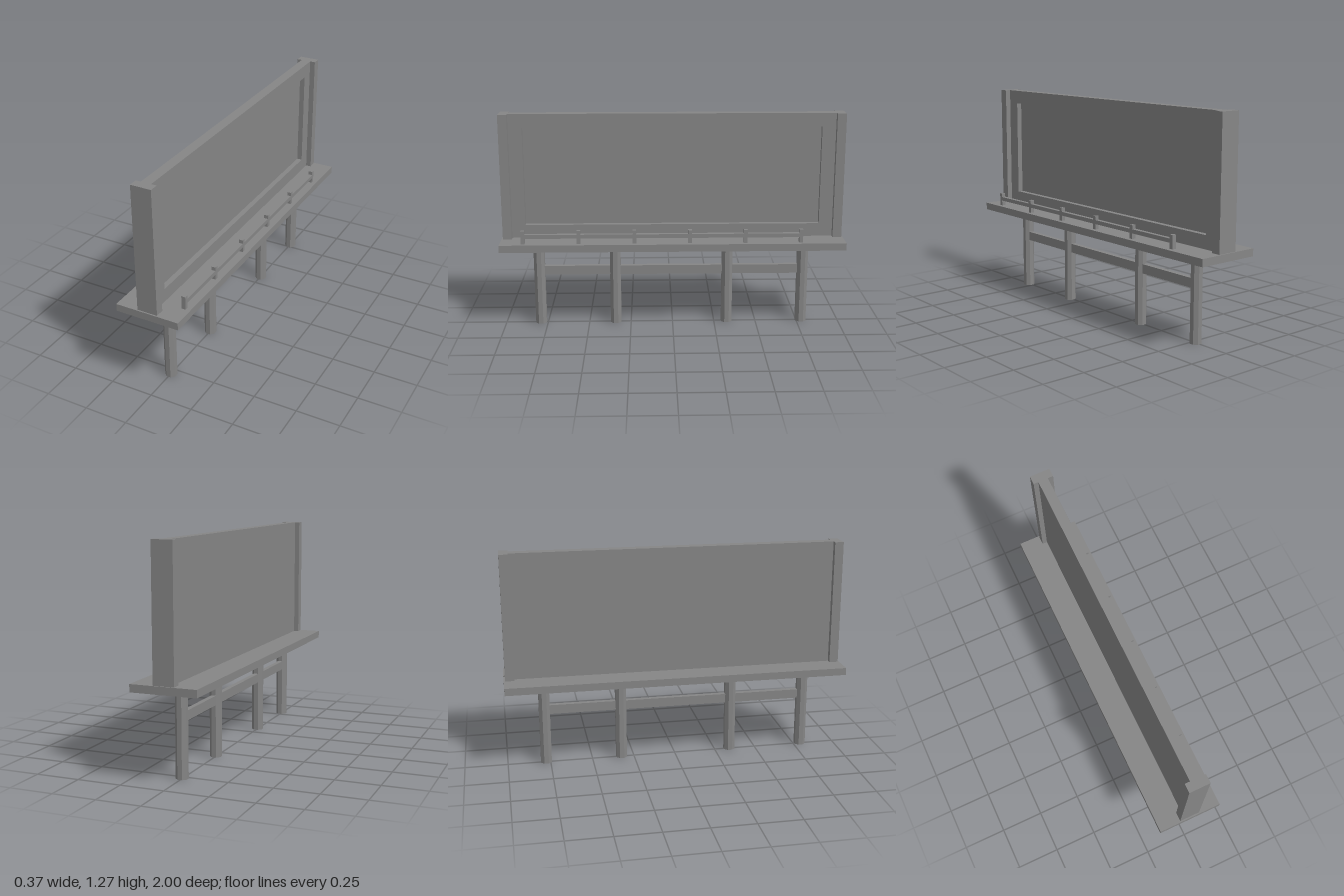
import * as THREE from 'three';

const material = new THREE.MeshStandardMaterial({ color: 0x868686, flatShading: true });
const openMaterial = material.clone();
openMaterial.side = THREE.DoubleSide;

export function createModel() {
  const model = new THREE.Group();
  model.name = 'billboard';

  const add = (name, geometry, x = 0, y = 0, z = 0, mat = material) => {
    const mesh = new THREE.Mesh(geometry, mat);
    mesh.name = name;
    mesh.position.set(x, y, z);
    model.add(mesh);
  };
  // Box given by its min and max on each axis
  const box = (name, x0, x1, y0, y1, z0, z1) =>
    add(name, new THREE.BoxGeometry(x1 - x0, y1 - y0, z1 - z0),
      (x0 + x1) / 2, (y0 + y1) / 2, (z0 + z1) / 2);

  // Eight-sided hollow support poles, flats facing the axes
  const pole = new THREE.CylinderGeometry(0.0345, 0.0345, 0.497, 8, 1, true).rotateY(Math.PI / 8);
  for (const z of [0.79, 0.34, -0.325, -0.775]) {
    add('supportPole', pole, 0.002, 0.2485, z, openMaterial);
  }

  // Slim brace running through the poles
  box('crossBrace', -0.012, 0.016, 0.305, 0.359, -0.775, 0.79);

  // Walkway platform
  box('platform', -0.188, 0.186, 0.495, 0.538, -1, 1);

  // End columns of the board
  for (const side of [-1, 1]) {
    const a = side * 0.94, b = side * 0.992;
    box('endColumn', -0.061, 0.058, 0.538, 1.27, Math.min(a, b), Math.max(a, b));
  }

  // Board: solid back with a raised frame around the recessed display
  box('boardBack', -0.032, -0.005, 0.538, 1.27, -0.94, 0.94);
  const rect = (path, x, y0, y1) =>
    path.moveTo(-x, y0).lineTo(x, y0).lineTo(x, y1).lineTo(-x, y1).closePath();
  const outline = rect(new THREE.Shape(), 0.94, 0.538, 1.27);
  outline.holes.push(rect(new THREE.Path(), 0.861, 0.615, 1.19));
  const frame = new THREE.ExtrudeGeometry(outline, { depth: 0.031, bevelEnabled: false });
  frame.rotateY(Math.PI / 2);
  add('displayFrame', frame, -0.005);

  // Guard rail along the display side
  for (let i = 0; i < 6; i++) {
    const z = 0.865 - i * 0.321;
    box('railPost', 0.136, 0.16, 0.538, 0.615, z - 0.011, z + 0.011);
    // Rail section reaching to the next post
    if (i < 5) box('guardRail', 0.136, 0.16, 0.57, 0.593, z - 0.31, z - 0.011);
  }

  return model;
}
